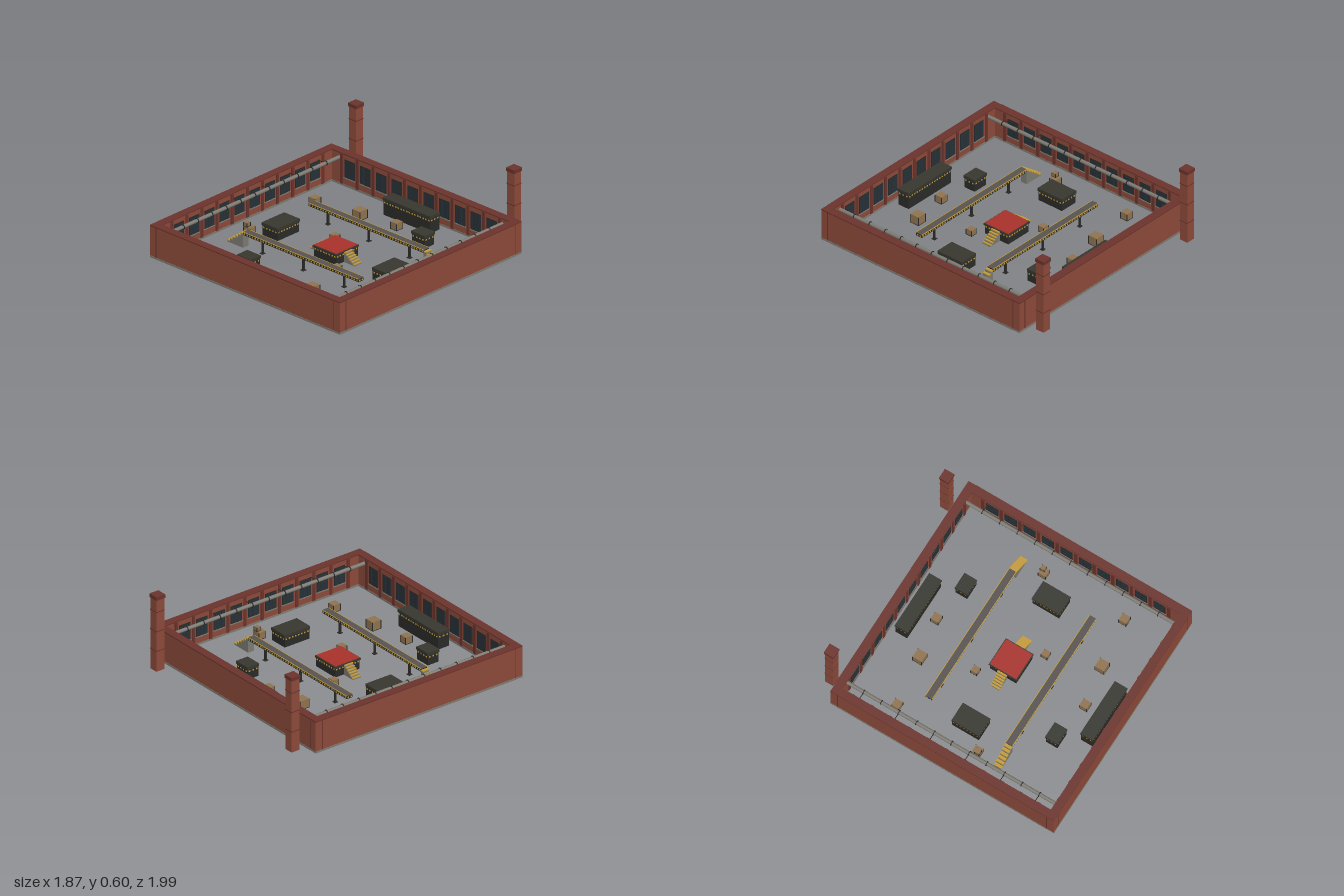
import * as THREE from 'three';

const mat = (name, color) => {
  const m = new THREE.MeshStandardMaterial({ color });
  m.name = name;
  return m;
};
const M = {
  brick: mat('brick', 0x8c4a3a),
  trim: mat('dark brick trim', 0x6b332c),
  stone: mat('grey stone', 0x7c7a72),
  glass: mat('window glass', 0x26323a),
  metal: mat('dark metal', 0x2a2a28),
  machine: mat('machine olive', 0x37372f),
  belt: mat('belt grey', 0x575351),
  yellow: mat('hazard yellow', 0xc29a38),
  red: mat('red deck', 0xa8322b),
  wood: mat('crate wood', 0x8f7350),
};

const group = (parent, name, x = 0, y = 0, z = 0) => {
  const g = new THREE.Group();
  g.name = name;
  g.position.set(x, y, z);
  parent.add(g);
  return g;
};

// Box standing with its underside at y
function box(parent, name, material, w, h, d, x, y, z) {
  const m = new THREE.Mesh(new THREE.BoxGeometry(w, h, d), material);
  m.name = name;
  m.position.set(x, y + h / 2, z);
  parent.add(m);
  return m;
}

// Row of thin yellow dashes on the four sides of a block
function dashes(parent, w, d, y, step = 0.026) {
  const size = step * 0.5;
  for (const [len, off, alongX] of [[w, d / 2, true], [d, w / 2, false]]) {
    const n = Math.max(1, Math.floor(len / step));
    for (let i = 0; i < n; i++) {
      const t = (i - (n - 1) / 2) * (len / n);
      for (const s of [-1, 1]) {
        if (alongX) box(parent, 'hazardDash', M.yellow, size, 0.011, 0.003, t, y, s * off);
        else box(parent, 'hazardDash', M.yellow, 0.003, 0.011, size, s * off, y, t);
      }
    }
  }
}

// One wall, inner side facing -z, centred on the yard
const INNER = 0.871, OUTER = 0.931, BAY = 0.155;
function wall(parent, name, angle) {
  const g = group(parent, name);
  g.rotation.y = angle;
  const mid = (INNER + OUTER) / 2, t = OUTER - INNER;
  box(g, 'plinth', M.stone, 2 * OUTER - t, 0.015, t + 0.004, -t / 2, 0.004, mid);
  box(g, 'brickwork', M.brick, 2 * INNER, 0.231, t, 0, 0.019, mid);
  box(g, 'coping', M.trim, 2 * OUTER - t, 0.008, t + 0.004, -t / 2, 0.25, mid);
  box(g, 'cornerPost', M.brick, t, 0.231, t, mid, 0.019, mid);
  for (const s of [-1, 1])
    box(g, 'cornerJoint', M.trim, 0.007, 0.231, 0.003, s * INNER, 0.019, OUTER + 0.0005);
  // Inner pilasters and windows
  for (let i = -5; i <= 5; i++)
    box(g, 'pilaster', M.trim, 0.024, 0.231, 0.008, i * BAY, 0.019, INNER - 0.003);
  for (let i = -5; i < 5; i++) {
    const x = (i + 0.5) * BAY;
    box(g, 'windowFrame', M.metal, 0.1, 0.14, 0.004, x, 0.075, INNER - 0.001);
    for (const a of [-1, 0, 1]) for (const b of [0, 1, 2])
      box(g, 'windowPane', M.glass, 0.027, 0.039, 0.003, x + a * 0.031, 0.08 + b * 0.044, INNER - 0.003);
    box(g, 'windowSill', M.stone, 0.11, 0.007, 0.008, x, 0.068, INNER - 0.003);
  }
}

// Pipe run along a side wall, with rings and wall brackets
function pipeRun(parent, side) {
  const g = group(parent, 'pipeRun');
  const x = side * 0.8, y = 0.215;
  const cyl = (name, m, r, l, z) => {
    const c = new THREE.Mesh(new THREE.CylinderGeometry(r, r, l, 12), m);
    c.name = name;
    c.rotation.x = Math.PI / 2;
    c.position.set(x, y, z);
    g.add(c);
  };
  cyl('pipe', M.stone, 0.014, 2 * INNER, 0);
  for (let i = -5; i <= 5; i++) {
    const z = i * 0.1465;
    cyl('pipeRing', M.metal, 0.019, 0.006, z);
    if (i % 2) box(g, 'pipeBracket', M.metal, 0.07, 0.005, 0.005, side * 0.837, y - 0.003, z);
  }
}

// Steps climbing toward -x, top edge at x = 0
function stairs(parent, run, rise, width, dir) {
  const g = group(parent, 'stairs');
  const n = 6, s = run / n;
  for (let i = 0; i < n; i++) {
    const h = rise * (n - i) / (n + 0.5), x = dir * (i + 0.5) * s;
    box(g, 'stepBody', M.stone, s, h - 0.006, width - 0.006, x, 0, 0);
    box(g, 'tread', M.yellow, s - 0.003, 0.008, width, x, h - 0.007, 0);
  }
  return g;
}

// Raised walkway on legs with steps at one end
function conveyor(parent, z, dir) {
  const g = group(parent, 'conveyor', 0, 0, z);
  const len = 1.13, top = 0.125;
  box(g, 'frame', M.metal, len, 0.022, 0.054, 0, top - 0.025, 0);
  box(g, 'belt', M.belt, len, 0.004, 0.05, 0, top - 0.003, 0);
  for (const s of [-1, 1])
    box(g, 'edgeRail', M.yellow, len, 0.004, 0.005, 0, top - 0.003, s * 0.028);
  dashes(g, len, 0.054, top - 0.02);
  for (const x of [-0.4, 0, 0.4]) {
    box(g, 'leg', M.metal, 0.014, top - 0.02, 0.014, x, 0, 0);
    box(g, 'foot', M.metal, 0.03, 0.005, 0.03, x, 0, 0);
  }
  stairs(g, 0.155, top, 0.06, dir).position.x = dir * len / 2;
}

function machine(parent, x, z, w, d, h) {
  const g = group(parent, 'machine', x, 0, z);
  box(g, 'machineBody', M.metal, w - 0.008, h - 0.02, d - 0.008, 0, 0, 0);
  box(g, 'machineTop', M.machine, w, 0.022, d, 0, h - 0.022, 0);
  dashes(g, w - 0.008, d - 0.008, h - 0.042);
}

function crate(parent, x, z, s) {
  const g = group(parent, 'crate', x, 0, z);
  box(g, 'crateBody', M.wood, s, s * 0.92, s, 0, 0.002, 0);
  box(g, 'crateBase', M.metal, s + 0.003, 0.004, s + 0.003, 0, 0, 0);
  for (const a of [-1, 1]) for (const b of [-1, 1])
    box(g, 'crateCorner', M.metal, 0.005, s * 0.9, 0.005, a * s / 2, 0, b * s / 2);
  return g;
}

function chimney(parent, x) {
  const g = group(parent, 'chimney', x, 0, -0.96);
  box(g, 'shaft', M.brick, 0.07, 0.575, 0.07, 0, 0, 0);
  for (const y of [0.16, 0.317, 0.472])
    box(g, 'band', M.trim, 0.074, 0.007, 0.074, 0, y, 0);
  box(g, 'chimneyCap', M.trim, 0.08, 0.028, 0.08, 0, 0.572, 0);
}

export function createModel() {
  const model = new THREE.Group();
  model.name = 'factoryYard';

  const yard = group(model, 'enclosure', 0, 0, 0.058);
  ['frontWall', 'leftWall', 'backWall', 'rightWall'].forEach((n, i) => wall(yard, n, i * Math.PI / 2));
  for (const s of [-1, 1]) {
    pipeRun(yard, s);
    chimney(model, s * 0.775);
  }

  conveyor(model, -0.28, 1);
  conveyor(model, 0.39, -1);

  // x, z, width, depth, height
  for (const a of [
    [0, -0.717, 0.465, 0.105, 0.135], [0, 0.83, 0.465, 0.105, 0.135],
    [-0.54, 0.057, 0.155, 0.23, 0.1], [0.54, 0.057, 0.155, 0.23, 0.1],
    [0.31, -0.512, 0.132, 0.105, 0.1], [-0.31, 0.625, 0.132, 0.105, 0.1],
  ]) machine(model, ...a);

  // Central platform with a red deck
  const p = group(model, 'centralPlatform', 0, 0, 0.058);
  box(p, 'platformBody', M.metal, 0.22, 0.075, 0.22, 0, 0, 0);
  box(p, 'platformRim', M.machine, 0.232, 0.014, 0.232, 0, 0.072, 0);
  box(p, 'deck', M.red, 0.22, 0.008, 0.22, 0, 0.082, 0);
  dashes(p, 0.22, 0.22, 0.055);
  for (const s of [-1, 1]) stairs(p, 0.105, 0.085, 0.076, s).position.x = s * 0.114;

  // x, z, size
  for (const a of [
    [-0.7, -0.46, 0.06], [-0.31, -0.512, 0.075], [0, -0.565, 0.06], [-0.185, -0.125, 0.05],
    [0.695, -0.1, 0.06], [-0.7, 0.21, 0.06], [0.18, 0.235, 0.05],
    [0.695, 0.572, 0.06], [0.31, 0.623, 0.075], [0, 0.675, 0.06],
  ]) crate(model, ...a);
  // Smaller crates stacked on two of them
  crate(model, 0.708, -0.113, 0.034).position.y = 0.057;
  crate(model, -0.713, 0.223, 0.034).position.y = 0.057;

  return model;
}
